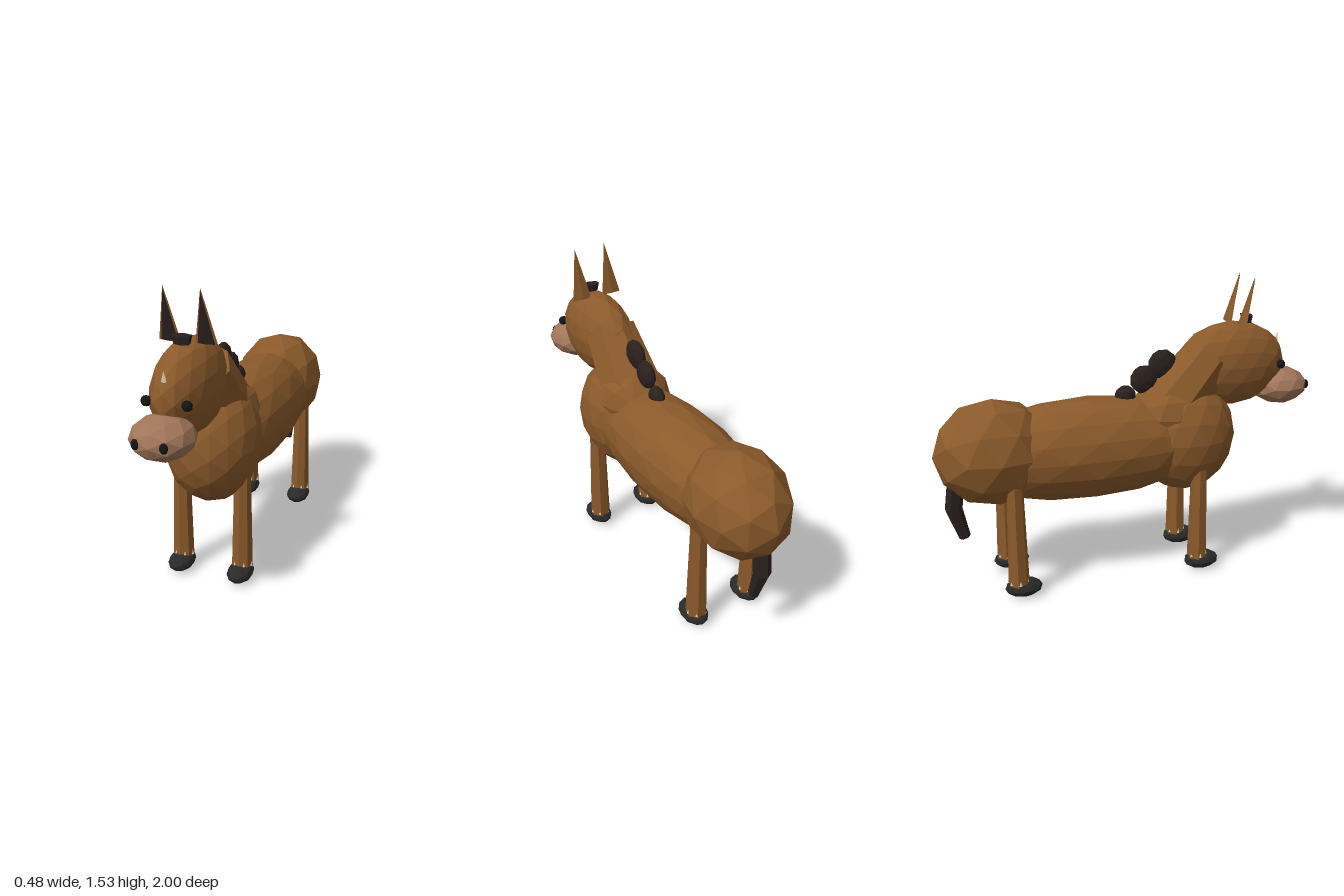
import * as THREE from 'three';

const paint = (color) => new THREE.MeshStandardMaterial({ color, flatShading: true });

export function createModel() {
  const horse = new THREE.Group();
  horse.name = 'horse';
  const coat = paint(0x8b5a2b), pale = paint(0xa0755a), hair = paint(0x2b211e);
  const black = paint(0x151515), hoofMat = paint(0x2a2b29), cream = paint(0xd8c8a0);

  const add = (name, geometry, material, position, parent = horse) => {
    const mesh = new THREE.Mesh(geometry, material);
    mesh.name = name;
    mesh.position.set(...position);
    parent.add(mesh);
    return mesh;
  };
  // Faceted ellipsoid
  const blob = (name, material, position, radii, detail = 1, tilt = 0) => {
    const mesh = add(name, new THREE.IcosahedronGeometry(1, detail), material, position);
    mesh.scale.set(...radii);
    mesh.rotation.x = tilt;
    return mesh;
  };
  // Tapered limb between two points
  const limb = (name, material, from, to, r0, r1, sides) => {
    const a = new THREE.Vector3(...from), b = new THREE.Vector3(...to);
    const dir = b.clone().sub(a);
    const mesh = add(name, new THREE.CylinderGeometry(r1, r0, dir.length(), sides), material,
      a.clone().add(b).multiplyScalar(0.5).toArray());
    mesh.quaternion.setFromUnitVectors(new THREE.Vector3(0, 1, 0), dir.normalize());
    return mesh;
  };

  // Body
  blob('barrel', coat, [0, 0.70, -0.21], [0.24, 0.263, 0.72], 2);
  blob('chest', coat, [0, 0.72, 0.30], [0.235, 0.305, 0.275], 2);
  blob('rump', coat, [0, 0.73, -0.70], [0.24, 0.27, 0.30], 1);
  blob('withers', coat, [0, 0.85, 0.20], [0.195, 0.175, 0.18], 1);
  limb('neck', coat, [0, 0.87, 0.22], [0, 1.13, 0.44], 0.17, 0.14, 8);

  // Head
  blob('head', coat, [0, 1.08, 0.56], [0.143, 0.222, 0.30], 2);
  blob('muzzle', pale, [0, 0.94, 0.845], [0.147, 0.1, 0.153], 1);
  const blaze = add('blaze', new THREE.ConeGeometry(0.042, 0.14, 6), cream, [0, 1.155, 0.815]);
  blaze.scale.z = 0.7;
  blaze.rotation.x = 0.15;
  add('forelock', new THREE.CylinderGeometry(0.05, 0.04, 0.04, 6), hair, [0, 1.31, 0.64])
    .scale.z = 0.6;

  for (const side of [1, -1]) {
    blob('eye', black, [side * 0.095, 1.075, 0.805], [0.025, 0.025, 0.022]);
    blob('nostril', black, [side * 0.065, 0.945, 0.975], [0.019, 0.025, 0.016]);

    // Thin upright ear with a dark inner face
    const ear = new THREE.Group();
    ear.name = 'ear';
    ear.position.set(side * 0.087, 1.41, 0.605);
    ear.rotation.x = 0.24;
    horse.add(ear);
    add('earOuter', new THREE.ConeGeometry(0.053, 0.265, 4), coat, [0, 0, 0], ear).scale.z = 0.15;
    add('earInner', new THREE.ConeGeometry(0.041, 0.25, 4), hair, [0, -0.005, 0.004], ear).scale.z = 0.17;

    // Legs with pale fetlock tufts and hooves
    for (const z of [0.33, -0.635]) {
      const x = side * 0.16;
      limb('leg', coat, [x, 0.06, z], [x, 0.6, z], 0.054, 0.041, 7);
      blob('hoof', hoofMat, [x, 0.052, z + 0.024], [0.065, 0.047, 0.095], 1);
      for (let i = 0; i < 6; i++) {
        const a = ((i + 0.5) * Math.PI) / 3;
        add('tuft', new THREE.ConeGeometry(0.01, 0.035, 5), cream,
          [x + 0.046 * Math.sin(a), 0.1, z + 0.046 * Math.cos(a)]);
      }
    }
  }

  // Mane
  const mane = [[1.10, 0.18, 0.08], [1.03, 0.08, 0.075], [0.95, -0.02, 0.058]];
  for (const [y, z, r] of mane) blob('mane', hair, [0, y, z], [0.036, r, r], 1, 0.3);

  // Tail
  limb('tailBase', hair, [0, 0.60, -0.895], [0, 0.45, -0.915], 0.043, 0.043, 6);
  limb('tailTip', hair, [0, 0.46, -0.915], [0, 0.295, -0.868], 0.042, 0.029, 6);

  return horse;
}
